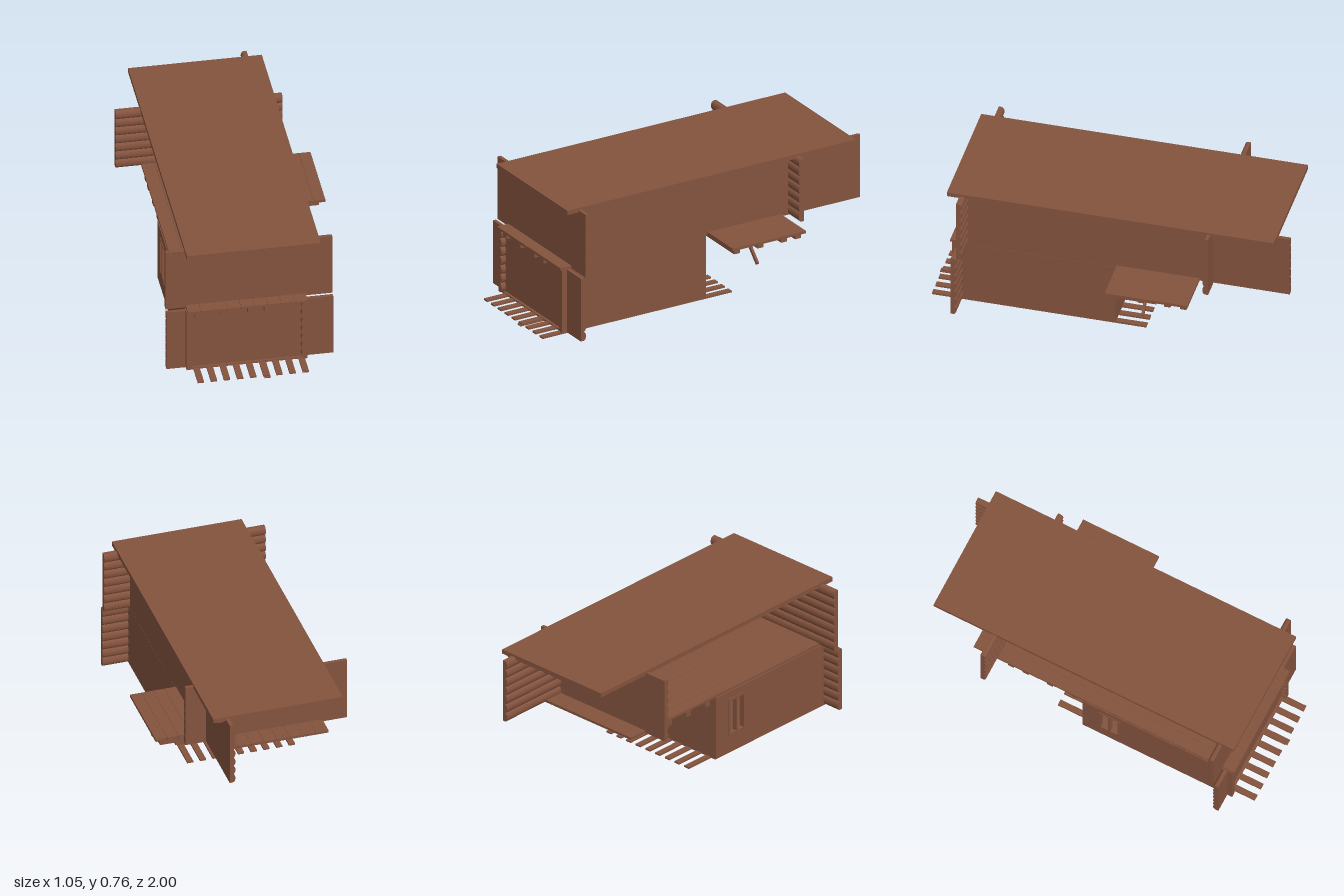
import * as THREE from 'three';

const timber = new THREE.MeshStandardMaterial({ color: 0x84533e });
timber.name = 'brown timber';

export function createModel() {
  const model = new THREE.Group();
  model.name = 'logHouse';

  const add = (name, geometry, parent = model) => {
    const mesh = new THREE.Mesh(geometry, timber);
    mesh.name = name;
    parent.add(mesh);
    return mesh;
  };

  // Box given by its extents on each axis
  const box = (name, x0, x1, y0, y1, z0, z1, parent) => {
    const mesh = add(name, new THREE.BoxGeometry(x1 - x0, y1 - y0, z1 - z0), parent);
    mesh.position.set((x0 + x1) / 2, (y0 + y1) / 2, (z0 + z1) / 2);
    return mesh;
  };

  // Profile: flat on one side, a row of half-round logs on the other
  const logGeometry = (rows, pitch, base, bulge, length) => {
    const s = new THREE.Shape();
    s.moveTo(0, 0);
    s.lineTo(base, 0);
    for (let i = 0; i < rows; i++) {
      for (let k = 1; k <= 8; k++) {
        const a = (Math.PI * k) / 8;
        s.lineTo(base + bulge * Math.sin(a), pitch * (i + (1 - Math.cos(a)) / 2));
      }
    }
    s.lineTo(0, rows * pitch);
    return new THREE.ExtrudeGeometry(s, { depth: length, bevelEnabled: false });
  };

  // Log walls; the name of the facing tells where the flat outside looks
  const PITCH = 0.0525;
  const TURN = { left: Math.PI, right: 0, front: Math.PI / 2, back: -Math.PI / 2 };
  const logWall = (name, facing, outer, from, to, y, rows = 7) => {
    const mesh = add(name, logGeometry(rows, PITCH, 0.016, 0.016, to - from));
    mesh.rotation.y = TURN[facing];
    if (facing === 'left') mesh.position.set(outer, y, to);
    if (facing === 'right') mesh.position.set(outer, y, from);
    if (facing === 'front') mesh.position.set(from, y, outer);
    if (facing === 'back') mesh.position.set(to, y, outer);
  };

  const Y0 = 0.016, Y1 = 0.385;

  // Ground storey
  logWall('lowerFrontWall', 'front', 0.845, -0.5, 0.41, Y0);
  logWall('lowerBackWall', 'back', -0.03, -0.395, 0.265, Y0);
  logWall('lowerLeftWall', 'left', 0.264, -0.03, 0.875, Y0);

  // Right wall, in pieces around the window
  const W0 = 0.075, W1 = 0.19;
  logWall('lowerRightWallBack', 'right', -0.395, -0.03, W0, Y0);
  logWall('lowerRightWallFront', 'right', -0.395, W1, 0.875, Y0);
  logWall('wallUnderWindow', 'right', -0.395, W0, W1, Y0, 2);
  logWall('wallOverWindow', 'right', -0.395, W0, W1, Y0 + 6 * PITCH, 1);

  // Window frame and bars
  const win = new THREE.Group();
  win.name = 'window';
  model.add(win);
  const wy0 = Y0 + 2 * PITCH, wy1 = Y0 + 6 * PITCH, f = 0.014;
  for (const z of [W0, (W0 + W1) / 2, W1]) {
    box('windowPost', -0.4, -0.37, wy0 - f / 2, wy1 + f / 2, z - f / 2, z + f / 2, win);
  }
  for (const y of [wy0, wy1]) {
    box('windowRail', -0.399, -0.371, y - f / 2, y + f / 2, W0, W1, win);
  }

  // Upper storey, open on the right side
  logWall('upperFrontWall', 'front', 0.815, -0.5, 0.41, Y1);
  logWall('upperBackWall', 'back', -0.577, -0.53, 0.38, Y1);
  logWall('upperLeftWall', 'left', 0.264, -1, 0.79, Y1);

  // Decks of planks running along z
  const deck = (name, x0, x1, y0, y1, z0, z1, count) => {
    const g = new THREE.Group();
    g.name = name;
    model.add(g);
    const step = (x1 - x0) / count;
    for (let i = 0; i < count; i++) {
      box('plank', x0 + i * step, x0 + (i + 1) * step - 0.001, y0, y1, z0, z1, g);
    }
  };
  deck('groundFloor', -0.39, 0.255, 0.008, 0.018, -0.03, 0.86, 9);
  deck('upperFloor', -0.39, 0.265, Y1, 0.399, -0.69, 0.885, 9);
  deck('balcony', 0.265, 0.525, Y1, 0.4, -0.5, -0.04, 4);

  // Long slats under the ground floor
  for (let i = 0; i < 9; i++) {
    const x = -0.338 + i * 0.0716;
    box('groundSlat', x - 0.017, x + 0.017, 0.004, 0.014, -0.2, 0.99);
  }
  // Loose boards against the ground
  for (const [x, z0, z1] of [[-0.33, 0.15, 0.48], [-0.26, 0.3, 0.7], [-0.16, -0.02, 0.3], [0.025, 0.6, 1]]) {
    box('groundBoard', x - 0.017, x + 0.017, 0, 0.006, z0, z1);
  }

  // Floor beams: along z through the house, along x under the balcony
  for (const x of [-0.333, -0.188, -0.043, 0.047]) {
    box('floorBeam', x - 0.018, x + 0.018, 0.349, Y1, -0.1, 0.872);
  }
  for (const z of [-0.085, -0.232, -0.38, -0.468]) {
    box('balconyBeam', -0.385, 0.495, 0.35, Y1, z - 0.018, z + 0.018);
  }
  box('beamTie', -0.35, 0.35, 0.37, Y1, -0.25, -0.07);

  // Slanting brace under the balcony
  const brace = add('balconyBrace', new THREE.BoxGeometry(0.19, 0.018, 0.014));
  brace.position.set(0.393, 0.31, -0.235);
  brace.rotation.z = -Math.PI / 4;

  // Flat roof with half-round logs beneath
  box('roof', -0.395, 0.335, 0.74, 0.765, -0.93, 0.885);
  const ceiling = add('roofLogs', logGeometry(13, 0.0535, 0.001, 0.011, 1.78));
  ceiling.rotation.z = -Math.PI / 2;
  ceiling.position.set(-0.378, 0.7405, -0.92);

  return model;
}
